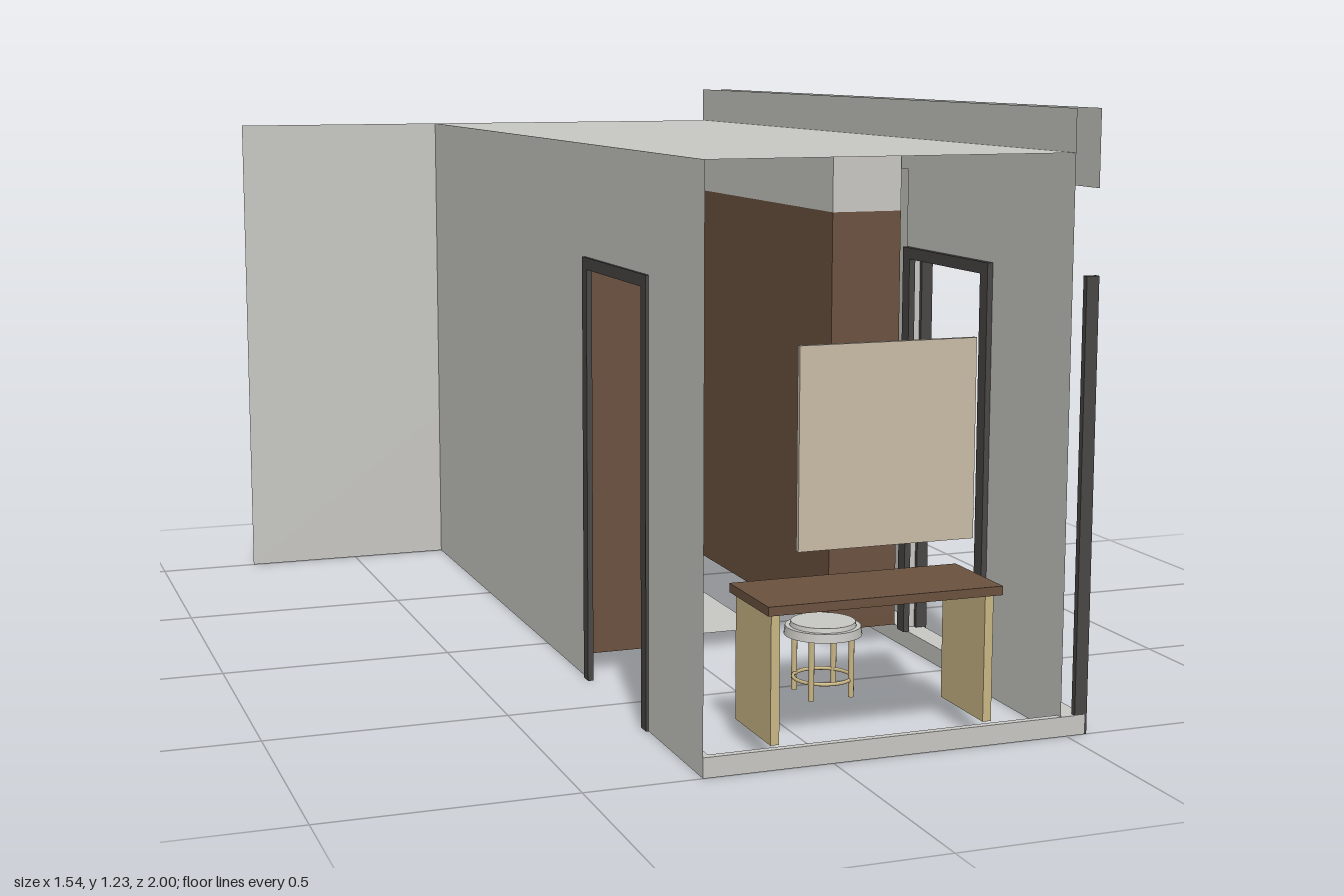
import * as THREE from 'three';

const mat = (name, color) => {
  const m = new THREE.MeshStandardMaterial({ color, side: THREE.DoubleSide });
  m.name = name;
  return m;
};

export function createModel() {
  const root = new THREE.Group();
  const grey = mat('plaster grey', 0xc8c7c3);
  const brown = mat('walnut brown', 0x6b513f);
  const dark = mat('frame charcoal', 0x494745);
  const beige = mat('board beige', 0xc9bba6);
  const oak = mat('pale oak', 0xc9b685);

  const add = (name, geo, material, parent = root) => {
    const m = new THREE.Mesh(geo, material);
    m.name = name;
    parent.add(m);
    return m;
  };
  // box given by its limits on each axis
  const box = (name, material, [x0, x1], [y0, y1], [z0, z1], parent = root) => {
    const m = add(name, new THREE.BoxGeometry(x1 - x0, y1 - y0, z1 - z0), material, parent);
    m.position.set((x0 + x1) / 2, (y0 + y1) / 2, (z0 + z1) / 2);
    return m;
  };
  // flat sheets across x, y or z
  const sheetX = (name, x, [y0, y1], [z0, z1]) => {
    const m = add(name, new THREE.PlaneGeometry(z1 - z0, y1 - y0), grey);
    m.rotation.y = Math.PI / 2;
    m.position.set(x, (y0 + y1) / 2, (z0 + z1) / 2);
  };
  const sheetY = (name, y, [x0, x1], [z0, z1]) => {
    const m = add(name, new THREE.PlaneGeometry(x1 - x0, z1 - z0), grey);
    m.rotation.x = -Math.PI / 2;
    m.position.set((x0 + x1) / 2, y, (z0 + z1) / 2);
  };
  const sheetZ = (name, z, [x0, x1], [y0, y1]) => {
    const m = add(name, new THREE.PlaneGeometry(x1 - x0, y1 - y0), grey);
    m.position.set((x0 + x1) / 2, (y0 + y1) / 2, z);
  };

  const L = -0.265, R = 0.487, O = 0.54, TOP = 1.146;

  // Shell: back wall, roof and left wall with its doorway
  sheetZ('backWall', -1, [-0.77, 0.77], [0, TOP]);
  sheetY('roof', TOP, [L, R], [-1, 1]);
  sheetX('leftWallRear', L, [0, TOP], [-1, 0.3]);
  sheetX('leftWallFront', L, [0, TOP], [0.69, 1]);
  sheetX('leftWallHeader', L, [0.905, TOP], [0.3, 0.69]);

  // Right wall: set back at the entrance, stepping out behind the screen
  sheetX('rightWallFront', R, [0.04, TOP], [0.67, 1]);
  sheetX('rightWallHeader', R, [0.905, TOP], [0.28, 0.67]);
  sheetX('rightWallRear', O, [0.04, 1.08], [-1, 0.28]);
  for (const z of [0.28, 0.67]) sheetZ('wallReturn', z, [R, O], [0.04, 1.08]);
  sheetX('outerFascia', O, [1.078, 1.23], [-1, 1]);
  sheetX('innerFascia', R, [1.078, 1.23], [-1, 1]);

  // Floor kerbs and aisle strip
  box('sideKerb', grey, [R, O], [0, 0.04], [-1, 1]);
  box('frontKerb', grey, [L, R], [0, 0.04], [0.985, 1]);
  box('leftKerb', grey, [L, L + 0.015], [0, 0.04], [0.69, 0.985]);
  sheetY('aisleStrip', 0.035, [0, 0.19], [-0.94, 0.16]);

  // Door frames: two jambs and a head each
  const doorFrame = (name, xr, y0, y1, z0, z1, w) => {
    const g = new THREE.Group();
    g.name = name;
    root.add(g);
    box('jambRear', dark, xr, [y0, y1], [z0, z0 + w], g);
    box('jambFront', dark, xr, [y0, y1], [z1 - w, z1], g);
    box('head', dark, xr, [y1 - 0.025, y1], [z0 + w, z1 - w], g);
  };
  doorFrame('leftDoorFrame', [-0.271, -0.259], 0, 0.91, 0.29, 0.695, 0.03);
  doorFrame('rightDoorOuterFrame', [0.52, 0.546], 0, 0.908, 0.26, 0.706, 0.03);
  doorFrame('rightDoorInnerFrame', [0.475, 0.489], 0.04, 0.908, 0.285, 0.68, 0.033);
  box('cornerPost', dark, [0.518, 0.545], [0, 0.91], [0.987, 1]);

  // Cupboards along both sides, with a recessed base and boxed-in tops
  const cupboard = (name, x0, x1, bays) => {
    const g = new THREE.Group();
    g.name = name;
    root.add(g);
    const z0 = -0.995, z1 = 0.25, t = 0.015;
    box('body', brown, [x0, x1], [0.065, 0.985], [z0, z1], g);
    for (const [a, b] of [[x0, x0 + t], [x1 - t, x1]])
      box('plinthSide', brown, [a, b], [0.04, 0.065], [z0, z1], g);
    for (let i = 0; i <= bays; i++) {
      const z = z0 + (z1 - z0 - t) * i / bays;
      box('plinthCross', brown, [x0 + t, x1 - t], [0.04, 0.065], [z, z + t], g);
    }
    box('bulkhead', grey, [x0, x1], [0.985, TOP - 0.002], [z0, z1], g);
  };
  cupboard('leftCupboard', L + 0.002, -0.037, 2);
  cupboard('rightCupboard', 0.32, R - 0.002, 1);

  // Screen wall: wood cladding, screen and low cabinet front
  box('woodCladding', brown, [O + 0.001, O + 0.006], [0.04, 1.075], [-0.967, 0.22]);
  box('screen', dark, [0.555, 0.563], [0.36, 0.705], [-0.627, -0.043]);
  box('mediaCabinet', grey, [O + 0.006, O + 0.012], [0.095, 0.252], [-0.785, 0.12]);

  // Hanging board over the desk, pale front on a grey back
  box('boardBack', grey, [-0.07, 0.294], [0.411, 0.8], [0.973, 0.978]);
  box('boardFace', beige, [-0.07, 0.294], [0.411, 0.8], [0.978, 0.983]);

  // Desk
  box('deskTop', brown, [-0.132, 0.358], [0.295, 0.313], [0.79, 0.99]);
  for (const x of [-0.12, 0.328])
    box('deskLeg', oak, [x, x + 0.018], [0.04, 0.295], [0.795, 0.975]);

  // Stool
  const stool = new THREE.Group();
  stool.name = 'stool';
  stool.position.set(0.112, 0, 0.69);
  root.add(stool);
  const seat = (name, r, y0, y1) => {
    const m = add(name, new THREE.CylinderGeometry(r * 0.97, r, y1 - y0, 32), grey, stool);
    m.position.y = (y0 + y1) / 2;
  };
  seat('seat', 0.08, 0.165, 0.183);
  seat('cushion', 0.068, 0.183, 0.192);
  for (let i = 0; i < 4; i++) {
    const a = Math.PI / 4 + i * Math.PI / 2;
    const leg = add('stoolLeg', new THREE.CylinderGeometry(0.006, 0.006, 0.125, 10), oak, stool);
    leg.position.set(Math.cos(a) * 0.062, 0.1025, Math.sin(a) * 0.062);
  }
  const ring = add('footRing', new THREE.TorusGeometry(0.06, 0.004, 8, 32), oak, stool);
  ring.rotation.x = Math.PI / 2;
  ring.position.y = 0.075;

  return root;
}
